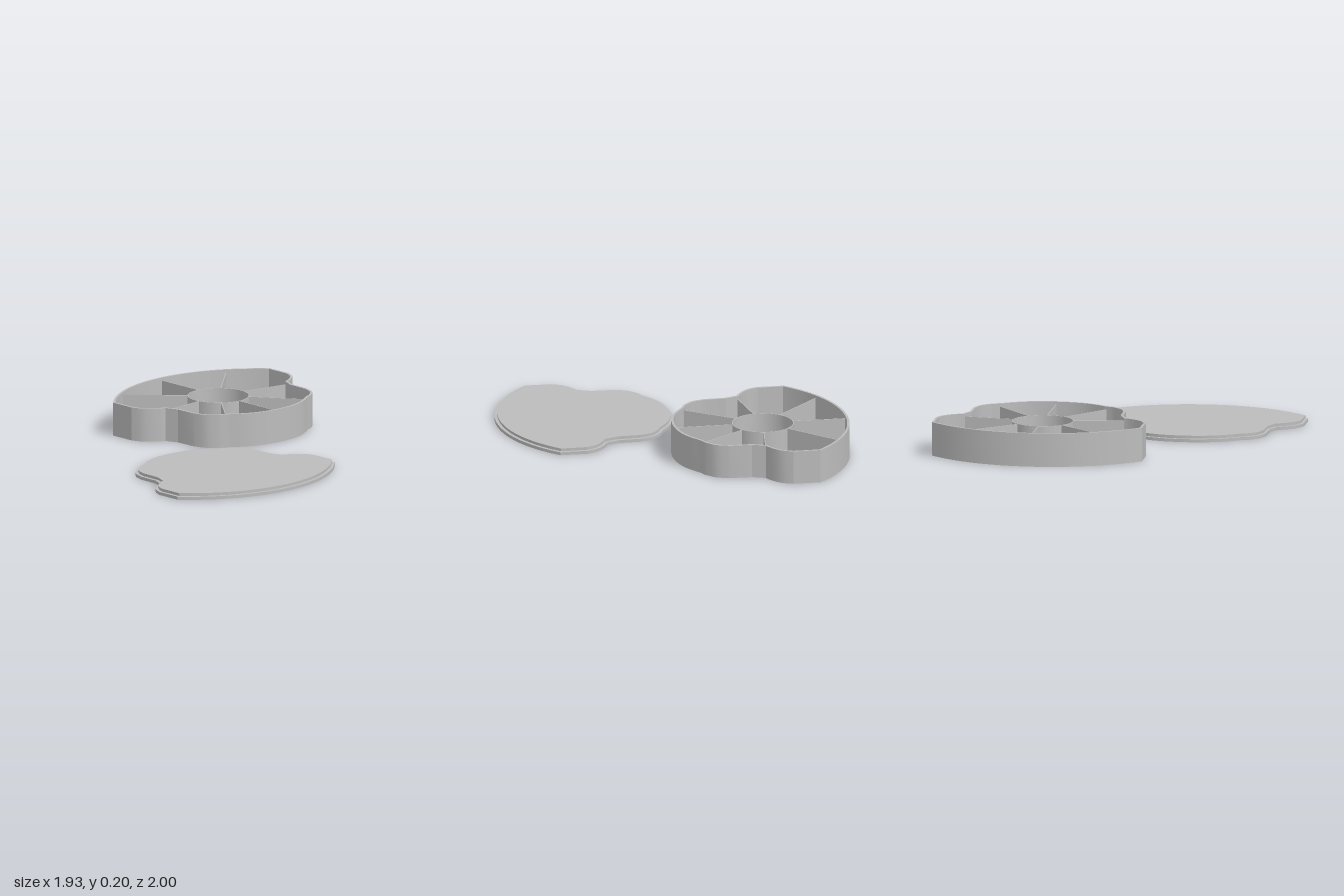
import * as THREE from 'three';
import { toCreasedNormals } from 'three/addons/utils/BufferGeometryUtils.js';

const V = (x, y) => new THREE.Vector2(x, y);

// Closed outline, counter-clockwise, around the hub centre; mirrored front to back.
function makeOutline() {
  const spline = (pts, n) => new THREE.SplineCurve(pts.map(p => V(...p))).getPoints(n);
  const half = [
    ...spline([[0.533, 0], [0.522, 0.11], [0.488, 0.215], [0.423, 0.317]], 12),
    ...spline([[0.408, 0.355], [0.35, 0.418], [0.27, 0.447]], 7),
    V(0.143, 0.45), V(0.068, 0.48),
    ...spline([[0.063, 0.495], [0.032, 0.545], [-0.012, 0.59], [-0.072, 0.617]], 8),
  ];
  const R = 0.846, a = Math.asin(0.617 / R);
  for (let i = 0; i <= 16; i++) {
    const t = a * (1 - i / 16);
    half.push(V(-0.499 + R - R * Math.cos(t), R * Math.sin(t)));
  }
  const mirrored = half.slice(1, -1).reverse().map(p => V(p.x, -p.y));
  return [...half, ...mirrored];
}

// Moves each corner inwards along its mitred normal.
function inset(pts, d) {
  const n = pts.length;
  return pts.map((p, i) => {
    const e1 = p.clone().sub(pts[(i + n - 1) % n]).normalize();
    const e2 = pts[(i + 1) % n].clone().sub(p).normalize();
    const m = V(-e1.y - e2.y, e1.x + e2.x).normalize();
    const k = Math.max(0.5, m.dot(V(-e1.y, e1.x)));
    return p.clone().addScaledVector(m, d / k);
  });
}

function circle(r) {
  return new THREE.EllipseCurve(0, 0, r, r).getPoints(64).slice(0, -1);
}

// Flat slab or ring standing between two heights.
function slab(name, material, pts, y0, y1, hole) {
  const shape = new THREE.Shape(pts);
  if (hole) shape.holes.push(new THREE.Path(hole));
  let geo = new THREE.ExtrudeGeometry(shape, { depth: y1 - y0, bevelEnabled: false });
  geo.rotateX(-Math.PI / 2);
  geo = toCreasedNormals(geo, 0.35);
  const mesh = new THREE.Mesh(geo, material);
  mesh.position.y = y0;
  mesh.name = name;
  return mesh;
}

export function createModel() {
  const grey = new THREE.MeshStandardMaterial({ color: 0xbcbcbc });
  grey.name = 'plainGrey';
  const model = new THREE.Group();
  model.name = 'dividedTrayWithLid';
  const outline = makeOutline();

  // Tray: floor, outer wall, round hub
  const tray = new THREE.Group();
  tray.name = 'tray';
  tray.position.set(-0.468, 0, -0.383);
  const floorTop = 0.015, dividerTop = 0.18;
  tray.add(slab('trayFloor', grey, outline, 0, floorTop));
  tray.add(slab('trayWall', grey, outline, floorTop, 0.197, inset(outline, 0.014)));
  tray.add(slab('hubWall', grey, circle(0.18), floorTop, dividerTop, circle(0.175)));

  // Radial dividers: angle in degrees and distance to the outer wall
  const spokes = [[0, 0.521], [37.2, 0.518], [82, 0.476], [133.3, 0.556], [180, 0.488]];
  for (const [deg, reach] of spokes) {
    for (const side of deg % 180 ? [1, -1] : [1]) {
      const a = side * THREE.MathUtils.degToRad(deg);
      const r = (0.178 + reach) / 2;
      const divider = new THREE.Mesh(
        new THREE.BoxGeometry(reach - 0.178, dividerTop - floorTop, 0.005), grey);
      divider.position.set(r * Math.cos(a), (dividerTop + floorTop) / 2, -r * Math.sin(a));
      divider.rotation.y = a;
      divider.name = 'divider';
      tray.add(divider);
    }
  }

  // Lid: same outline turned half round, with a stepped plug
  const lid = new THREE.Group();
  lid.name = 'lid';
  lid.position.set(0.468, 0, 0.383);
  lid.rotation.y = Math.PI;
  lid.add(slab('lidPlate', grey, outline, 0, 0.018));
  lid.add(slab('lidNeck', grey, inset(outline, 0.019), 0.018, 0.026));
  lid.add(slab('lidPlug', grey, inset(outline, 0.015), 0.026, 0.036));

  model.add(tray, lid);
  return model;
}
